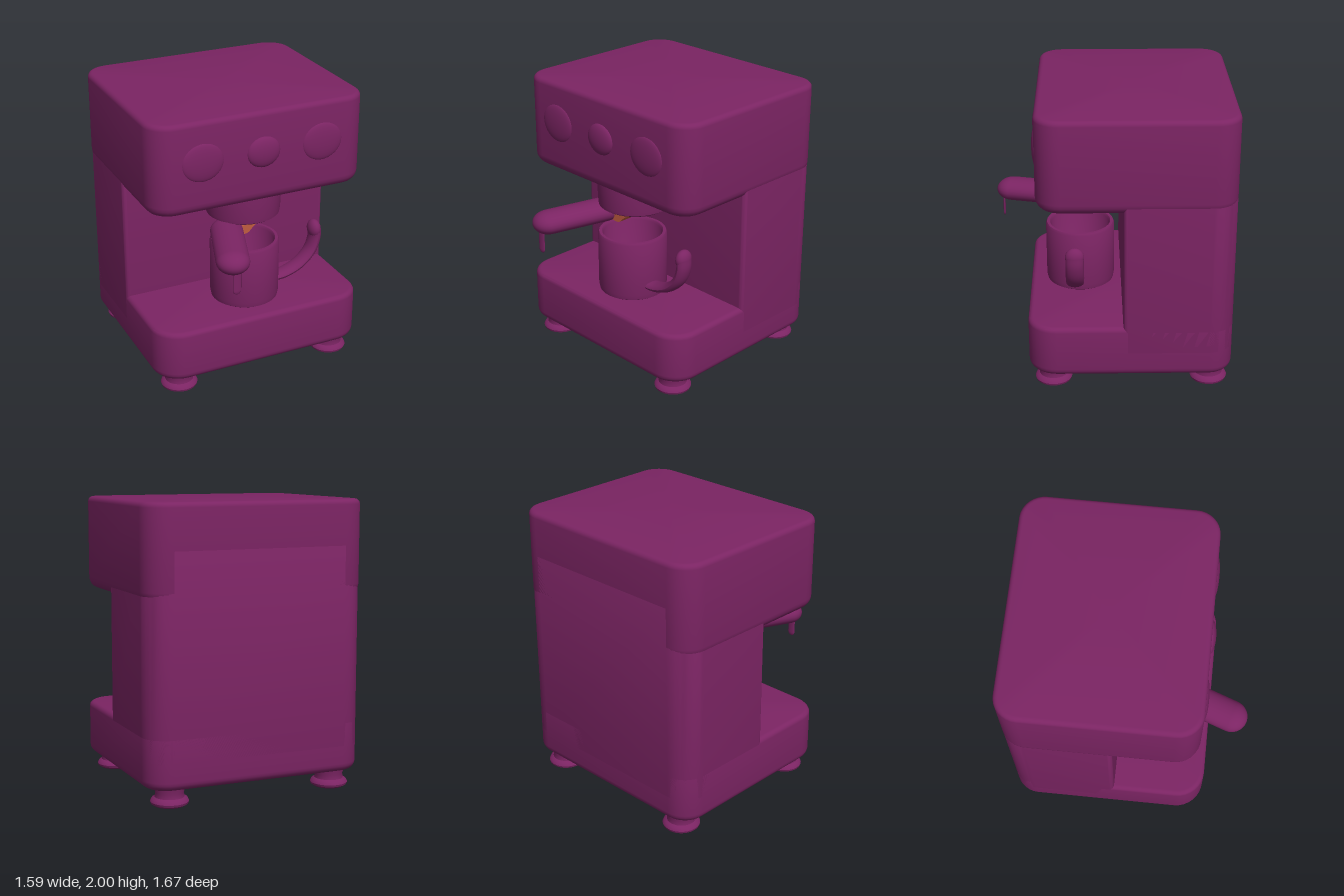
import * as THREE from 'three';
import { toCreasedNormals } from 'three/addons/utils/BufferGeometryUtils.js';

const plum = new THREE.MeshStandardMaterial({ color: 0x7b2463 });
plum.name = 'plum';
const copper = new THREE.MeshStandardMaterial({ color: 0xc05c40, side: THREE.DoubleSide });
copper.name = 'copper';

// Upright block with rounded plan corners and separate top and bottom edge radii
function roundedBlock({ halfW, back, front, y0, y1, rBack, rFront, bottom, top }) {
  const steps = 8, rings = [], edge = 5;
  for (let i = 0; i <= edge; i++) {
    const a = (i / edge) * Math.PI / 2;
    rings.push([y0 + bottom * (1 - Math.sin(a)), bottom * (1 - Math.cos(a))]);
  }
  rings.reverse();
  const lower = rings.map(([y], i) => {
    const a = (i / edge) * Math.PI / 2;
    return [y0 + bottom * (1 - Math.cos(a)), bottom * (1 - Math.sin(a))];
  });
  const upper = lower.map((_, i) => {
    const a = (i / edge) * Math.PI / 2;
    return [y1 - top * (1 - Math.sin(a)), top * (1 - Math.cos(a))];
  });
  const levels = [...lower, ...upper];
  const corners = [[1, 1], [-1, 1], [-1, -1], [1, -1]];
  const pos = [], idx = [], n = 4 * (steps + 1);
  for (const [y, inset] of levels) {
    corners.forEach(([sx, sz], c) => {
      const r = sz > 0 ? rFront : rBack, rr = Math.max(r - inset, 0.004);
      const off = Math.max(r, inset + 0.004);
      const cx = sx * (halfW - off), cz = sz > 0 ? front - off : back + off;
      for (let i = 0; i <= steps; i++) {
        const a = (c + i / steps) * Math.PI / 2;
        pos.push(cx + rr * Math.cos(a), y, cz + rr * Math.sin(a));
      }
    });
  }
  for (let l = 0; l < levels.length - 1; l++) {
    for (let i = 0; i < n; i++) {
      const p = l * n + i, p1 = l * n + (i + 1) % n;
      idx.push(p, p + n, p1, p1, p + n, p1 + n);
    }
  }
  const last = (levels.length - 1) * n, mid = (back + front) / 2, c = pos.length / 3;
  pos.push(0, y0, mid, 0, y1, mid);
  for (let i = 0; i < n; i++) {
    const j = (i + 1) % n;
    idx.push(c, i, j, c + 1, last + j, last + i);
  }
  const g = new THREE.BufferGeometry();
  g.setAttribute('position', new THREE.Float32BufferAttribute(pos, 3));
  g.setIndex(idx);
  return toCreasedNormals(g, 0.6);
}

function turned(points, segments = 40) {
  const g = new THREE.LatheGeometry(points.map(([r, y]) => new THREE.Vector2(r, y)), segments);
  return toCreasedNormals(g, 0.7);
}

export function createModel() {
  const model = new THREE.Group();
  model.name = 'espressoMachine';
  const add = (name, geometry, x = 0, y = 0, z = 0, material = plum) => {
    const mesh = new THREE.Mesh(geometry, material);
    mesh.name = name;
    mesh.position.set(x, y, z);
    model.add(mesh);
    return mesh;
  };

  // Body: base, rear column and overhanging head
  add('base', roundedBlock({ halfW: 0.79, back: -0.84, front: 0.575, y0: 0.125, y1: 0.505,
    rBack: 0.17, rFront: 0.2, bottom: 0.06, top: 0.035 }));
  add('column', roundedBlock({ halfW: 0.79, back: -0.84, front: -0.08, y0: 0.3, y1: 1.7,
    rBack: 0.17, rFront: 0.03, bottom: 0.01, top: 0.01 }));
  add('head', roundedBlock({ halfW: 0.795, back: -0.84, front: 0.505, y0: 1.345, y1: 2,
    rBack: 0.17, rFront: 0.17, bottom: 0.08, top: 0.035 }));

  // Front knobs: a crisp centre button between two soft domes
  const knobs = [['leftKnob', 0.44, 0.15, 0.028], ['centreKnob', 0, 0.122, 0.04], ['rightKnob', -0.44, 0.15, 0.028]];
  for (const [name, x, r, depth] of knobs) {
    add(name, new THREE.SphereGeometry(1, 32, 16), x, 1.715, 0.5).scale.set(r, r * 0.9, depth);
  }

  // Feet
  const foot = turned([[0, 0], [0.1, 0], [0.125, 0.015], [0.13, 0.03], [0.12, 0.05],
    [0.1, 0.06], [0.095, 0.09], [0.105, 0.12], [0.105, 0.16]], 28);
  for (const x of [-0.6, 0.6]) for (const z of [0.405, -0.685]) add('foot', foot, x, 0, z);

  // Brew head
  add('brewHead', turned([[0, 1.15], [0.235, 1.15], [0.258, 1.165], [0.262, 1.19],
    [0.268, 1.32], [0.268, 1.4]]), 0, 0, 0.185);

  // Filter holder handle, an oval rod angled forward and to the right
  const handle = add('filterHandle', new THREE.CapsuleGeometry(0.115, 0.42, 10, 24).rotateX(Math.PI / 2).scale(1, 0.71, 1),
    -0.255, 1.078, 0.515);
  handle.lookAt(-0.33, 1.068, 0.73);
  add('handleTab', new THREE.CapsuleGeometry(0.03, 0.13, 6, 12).scale(1, 1, 0.28), -0.325, 0.95, 0.78);

  // Filter basket and copper spout under the brew head
  add('filterBasket', turned([[0, 1.125], [0.1, 1.125], [0.14, 1.155]], 28), 0.02, 0, 0.19);
  const spout = new THREE.Shape();
  spout.moveTo(-0.1, 1.04);
  spout.quadraticCurveTo(-0.03, 1.02, 0.0, 1.06);
  spout.quadraticCurveTo(0.04, 1.11, 0.14, 1.13);
  spout.lineTo(0.14, 1.15);
  spout.lineTo(0.02, 1.145);
  spout.quadraticCurveTo(-0.04, 1.1, -0.1, 1.08);
  add('spout', new THREE.ExtrudeGeometry(spout, { depth: 0.19, bevelEnabled: false, curveSegments: 8 }), 0, 0, 0.13, copper);

  // Cup with an open top
  add('cup', turned([[0, 0.5], [0.215, 0.5], [0.238, 0.515], [0.245, 0.55], [0.246, 0.94], [0.238, 0.956],
    [0.218, 0.956], [0.208, 0.94], [0.204, 0.72], [0.18, 0.69], [0, 0.69]], 48), 0, 0, 0.215);

  // Cup handle: an open upswept tube, wider across than thick, ending in a bulb
  const path = new THREE.CatmullRomCurve3([[0.2, 0.61], [0.3, 0.62], [0.42, 0.67], [0.51, 0.76],
    [0.545, 0.86], [0.545, 0.93]].map(([x, y]) => new THREE.Vector3(x, y, 0)));
  const tube = new THREE.TubeGeometry(path, 32, 1, 16);
  const p = tube.attributes.position, uv = tube.attributes.uv, v = new THREE.Vector3();
  for (let i = 0; i < p.count; i++) {
    const u = uv.getX(i), c = path.getPointAt(u);
    v.fromBufferAttribute(p, i).sub(c);
    const r = 0.03 + 0.013 * u;
    p.setXYZ(i, c.x + v.x * r, c.y + v.y * r, v.z * 0.063);
  }
  tube.computeVertexNormals();
  add('cupHandle', tube, 0, 0, 0.25);
  add('cupHandleTip', new THREE.SphereGeometry(1, 24, 16), 0.541, 0.925, 0.25).scale.set(0.046, 0.068, 0.066);

  return model;
}
